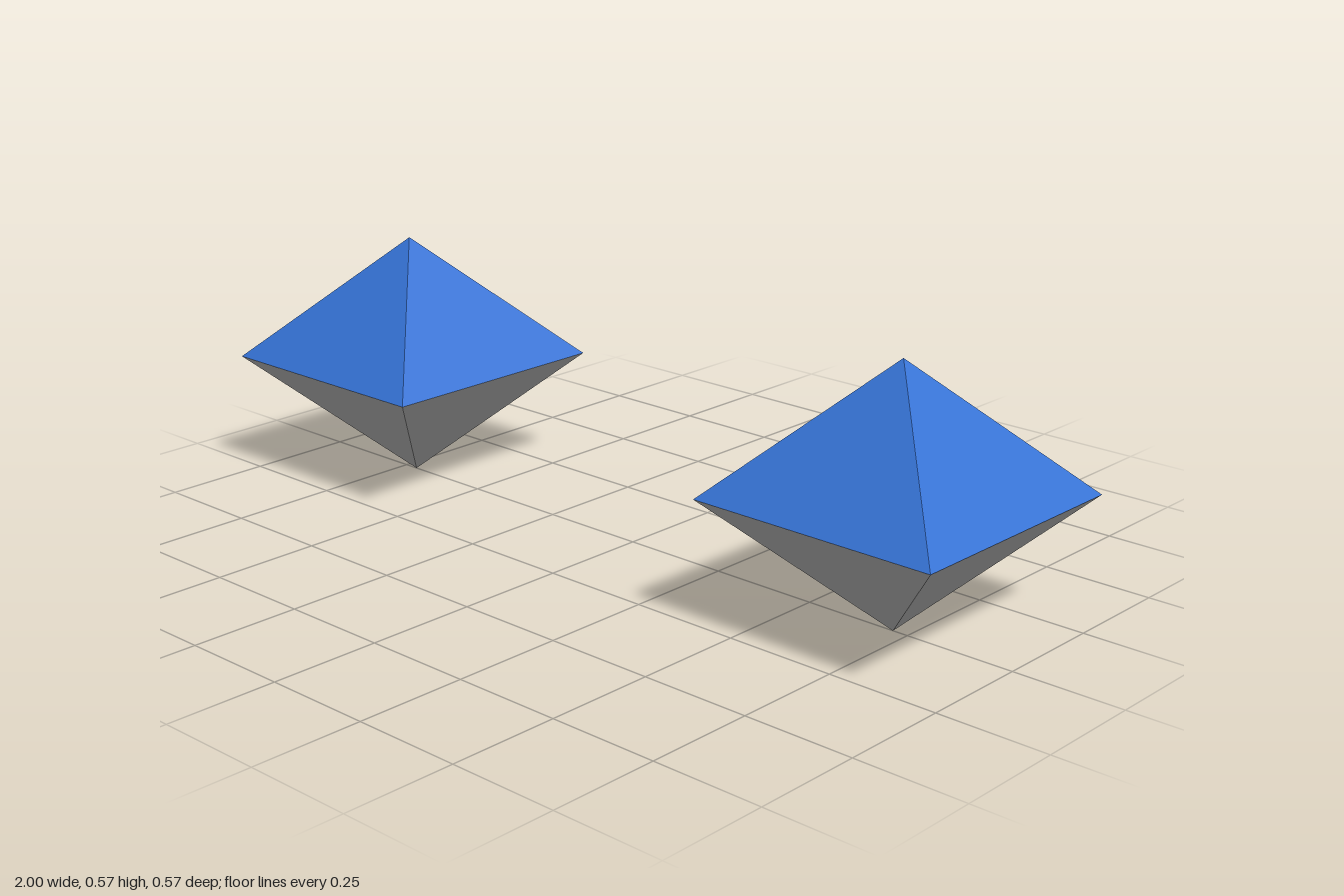
import * as THREE from 'three';

const HALF = 2 / 7; // half width of the square waist, and height of each pyramid
const OFFSET = 1 - HALF;

// Open four-sided pyramid with its square edges along x and z, base at y = 0
function pyramid(name, color, pointsDown) {
  const geometry = new THREE.ConeGeometry(HALF * Math.SQRT2, HALF, 4, 1, true);
  geometry.rotateY(Math.PI / 4);
  geometry.translate(0, HALF / 2, 0);
  if (pointsDown) geometry.rotateX(Math.PI);
  const material = new THREE.MeshStandardMaterial({ color, flatShading: true });
  const mesh = new THREE.Mesh(geometry, material);
  mesh.name = name;
  return mesh;
}

export function createModel() {
  const model = new THREE.Group();
  model.name = 'diamondPair';

  // Two matching diamonds, blue above and grey below
  for (const [side, sign] of [['left', 1], ['right', -1]]) {
    const diamond = new THREE.Group();
    diamond.name = `${side}Diamond`;
    diamond.add(pyramid('upperPyramid', 0x3572d4, false));
    diamond.add(pyramid('lowerPyramid', 0xcccccc, true));
    diamond.position.set(sign * OFFSET, HALF, 0);
    model.add(diamond);
  }
  return model;
}
